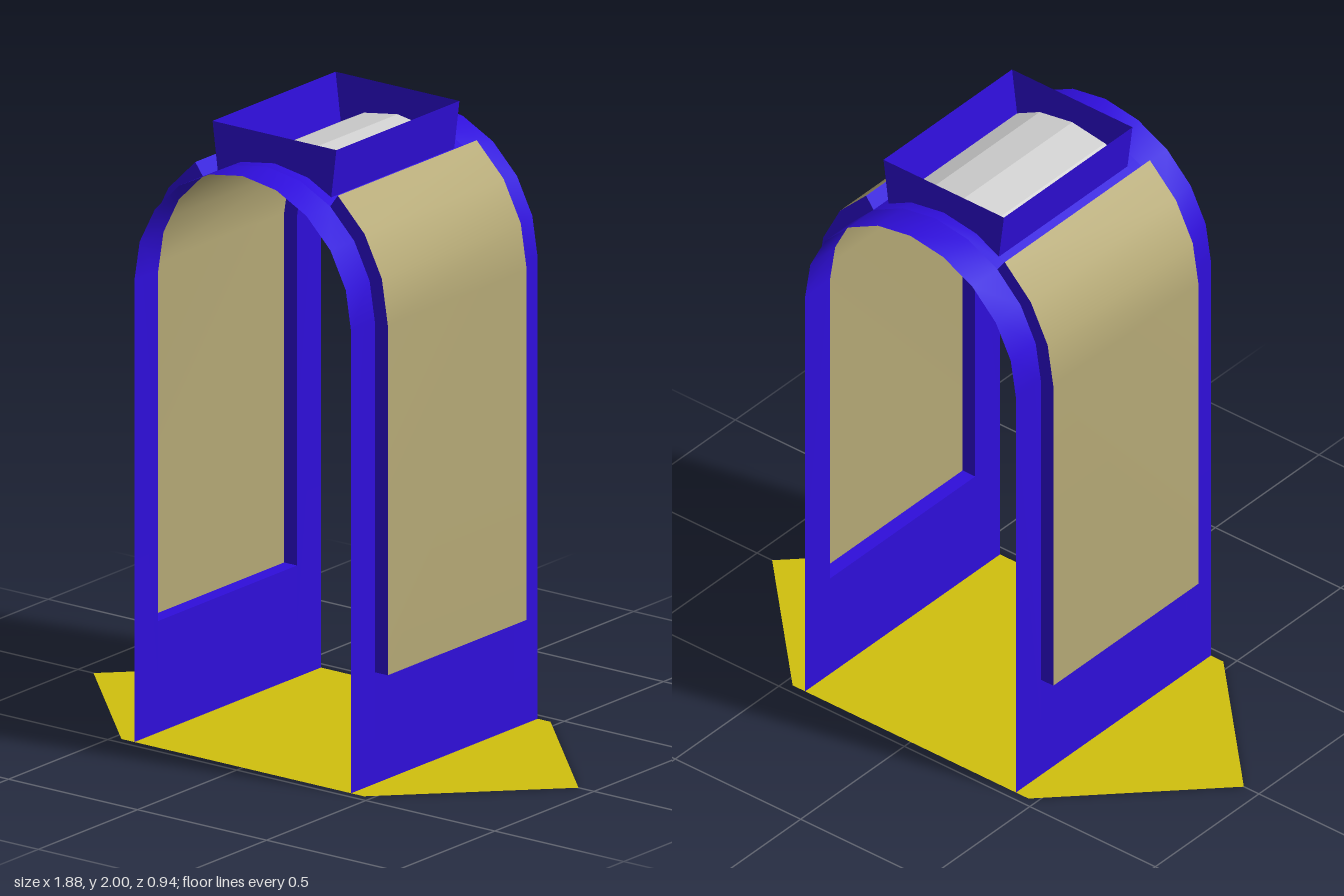
import * as THREE from 'three';

const R = 0.42, SPRING = 1.49, OUT = 0.47; // arch radius, spring height, outer radius of side panels
const DEPTH = 0.47, WIN_Z = 0.35, SILL = 0.36; // half depth, half window width, sill height
const SKY_X = 0.22, SKY_Z = 0.31, TOP = 2; // roof hatch

const material = (name, color) => {
  const m = new THREE.MeshStandardMaterial({ color, side: THREE.DoubleSide });
  m.name = name;
  return m;
};

// Surface spanned between two rows of [x, y, z] points
function strip(a, b, faceted = false) {
  const g = new THREE.BufferGeometry();
  const index = [];
  const n = a.length;
  for (let i = 0; i < n - 1; i++) index.push(i, i + 1, n + i, i + 1, n + i + 1, n + i);
  g.setAttribute('position', new THREE.Float32BufferAttribute([...a, ...b].flat(), 3));
  g.setIndex(index);
  const out = faceted ? g.toNonIndexed() : g;
  out.computeVertexNormals();
  return out;
}

// Point on an arc of radius r, in 18 degree steps from the right spring line
const arc = (r, step) => {
  const t = step * Math.PI / 10;
  return [r * Math.cos(t), SPRING + r * Math.sin(t)];
};
const arcRow = (r, from, to) => {
  const row = [];
  for (let i = from; i <= to; i++) row.push(arc(r, i));
  return row;
};
const at = (row, z) => row.map(([x, y]) => [x, y, z]);
const flip = (row, s) => row.map(([x, y]) => [s * x, y]);

export function createModel() {
  const model = new THREE.Group();
  const blue = material('blue frame', 0x2f0edb);
  const beige = material('beige panel', 0xb5a976);
  const yellow = material('yellow floor', 0xd0c00e);
  const grey = material('pale glass', 0xd2d2d2);

  const add = (name, geometry, mat, parent = model) => {
    const mesh = new THREE.Mesh(geometry, mat);
    mesh.name = name;
    parent.add(mesh);
    return mesh;
  };
  const sheet = (name, row, z0, z1, mat, parent, faceted) =>
    add(name, strip(at(row, z0), at(row, z1), faceted), mat, parent);

  // Pointed floor plate
  const outline = new THREE.Shape([
    [0.94, 0], [0.47, 0.47], [-0.47, 0.47], [-0.94, 0], [-0.47, -0.47], [0.47, -0.47],
  ].map(([x, y]) => new THREE.Vector2(x, y)));
  add('floor', new THREE.ShapeGeometry(outline).rotateX(-Math.PI / 2), yellow);

  // Hatch edge: where the arch facet reaches x = SKY_X
  const p = arc(R, 3), q = arc(R, 4);
  const k = (p[0] - SKY_X) / (p[0] - q[0]);
  const hatchY = p[1] + k * (q[1] - p[1]);
  const hatchRow = [[SKY_X, hatchY], ...arcRow(R, 4, 6), [-SKY_X, hatchY]];

  // Arch shell around the openings
  const shell = new THREE.Group();
  shell.name = 'archShell';
  model.add(shell);
  const fullRow = [[R, 0], ...arcRow(R, 0, 10), [-R, 0]];
  for (const s of [1, -1]) {
    sheet('archBand', fullRow, s * WIN_Z, s * DEPTH, blue, shell);
    sheet('crownBand', arcRow(R, 3, 7), s * SKY_Z, s * WIN_Z, blue, shell);
    sheet('crownEdge', flip([p, [SKY_X, hatchY]], s), -SKY_Z, SKY_Z, blue, shell);
    sheet('lowerWall', flip([[R, 0], [R, SILL]], s), -WIN_Z, WIN_Z, blue, shell);
  }

  // Raised side panels with their rims
  const inner = [[R, SILL], ...arcRow(R, 0, 3)];
  const outer = [[OUT, SILL], ...arcRow(OUT, 0, 3)];
  for (const s of [1, -1]) {
    const side = new THREE.Group();
    side.name = s > 0 ? 'leftWindow' : 'rightWindow';
    model.add(side);
    sheet('panel', flip(outer, s), -WIN_Z, WIN_Z, beige, side);
    for (const z of [-WIN_Z, WIN_Z])
      add('sideRim', strip(at(flip(inner, s), z), at(flip(outer, s), z)), blue, side);
    for (const i of [0, inner.length - 1])
      sheet(i ? 'topRim' : 'sillRim', flip([inner[i], outer[i]], s), -WIN_Z, WIN_Z, blue, side);
  }

  // Roof hatch: curved glass inside an open, slightly flared collar
  const hatch = new THREE.Group();
  hatch.name = 'roofHatch';
  model.add(hatch);
  sheet('hatchGlass', hatchRow, -SKY_Z, SKY_Z, grey, hatch, true);
  const flare = 0.24;
  const rimRow = hatchRow.map(([x]) => [x * flare / SKY_X, TOP]);
  for (const s of [1, -1]) {
    add('collarEnd', strip(at(hatchRow, s * SKY_Z), at(rimRow, s * SKY_Z)), blue, hatch);
    sheet('collarSide', flip([[SKY_X, hatchY], [flare, TOP]], s), -SKY_Z, SKY_Z, blue, hatch);
  }

  return model;
}
